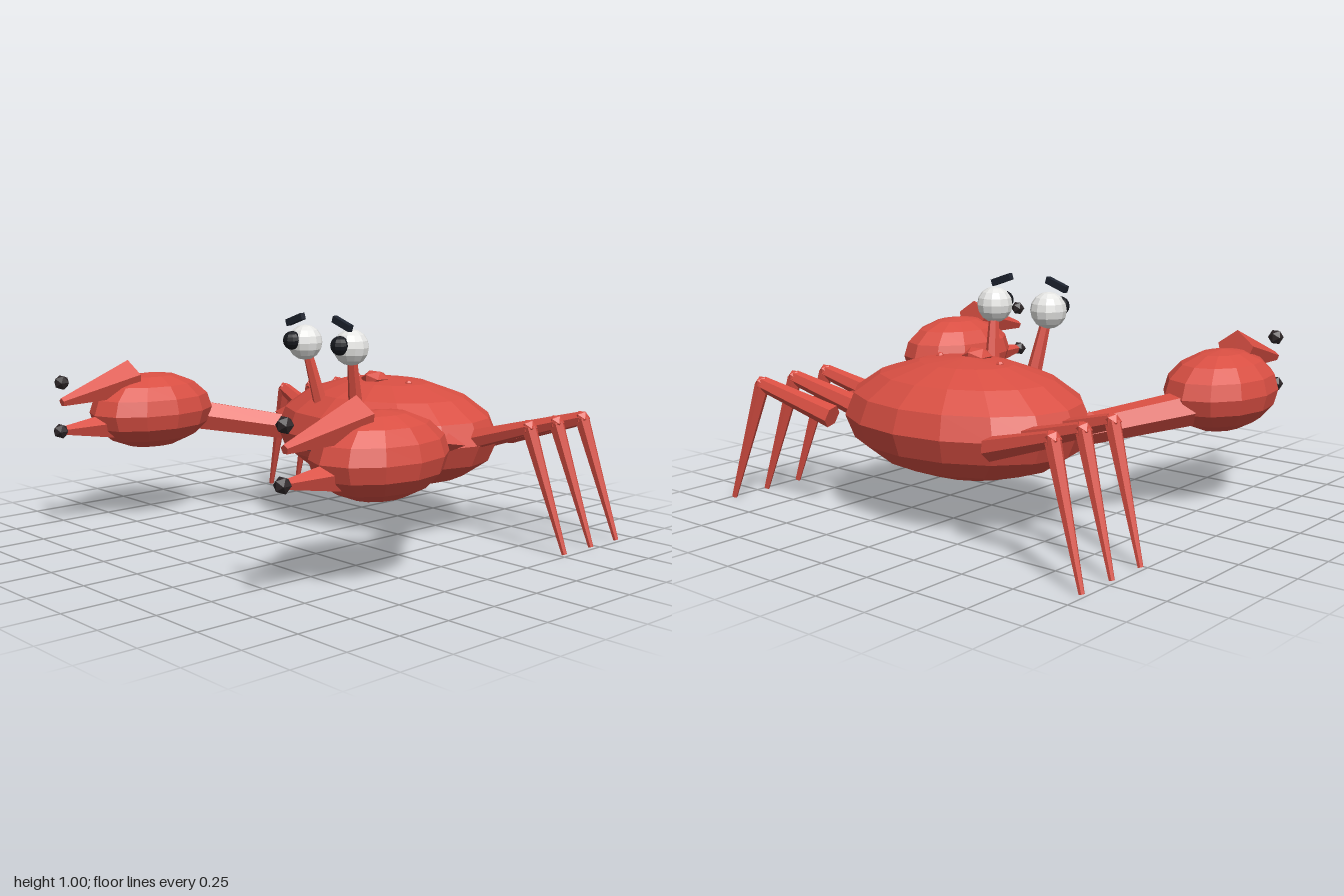
import * as THREE from 'three';

const paint = (name, color) => {
  const m = new THREE.MeshStandardMaterial({ color, flatShading: true });
  m.name = name;
  return m;
};

export function createModel() {
  const red = paint('shellRed', 0xd94f43);
  const white = paint('eyeWhite', 0xe6e6e4);
  const black = paint('pupilBlack', 0x16181e);
  const navy = paint('browNavy', 0x1e2430);
  const dark = paint('clawTipDark', 0x2d2628);

  const model = new THREE.Group();
  model.name = 'crab';

  const add = (parent, name, geometry, material, pos) => {
    const mesh = new THREE.Mesh(geometry, material);
    mesh.name = name;
    mesh.position.set(...pos);
    parent.add(mesh);
    return mesh;
  };
  const ellipsoid = (parent, name, material, pos, radii, w, h) => {
    add(parent, name, new THREE.SphereGeometry(1, w, h), material, pos).scale.set(...radii);
  };
  // Tapered prism running from point a to point b
  const limb = (parent, name, a, b, ra, rb, sides = 6, turn = 0) => {
    const start = new THREE.Vector3(...a), end = new THREE.Vector3(...b);
    const dir = end.clone().sub(start);
    const geo = new THREE.CylinderGeometry(rb, ra, dir.length(), sides, 1, false, turn);
    const mid = start.add(end).multiplyScalar(0.5);
    const mesh = add(parent, name, geo, red, mid.toArray());
    mesh.quaternion.setFromUnitVectors(new THREE.Vector3(0, 1, 0), dir.normalize());
  };

  // Shell, top bump and mouth
  ellipsoid(model, 'shell', red, [0, 0.435, -0.41], [0.59, 0.255, 0.445], 16, 8);
  add(model, 'shellBump', new THREE.IcosahedronGeometry(0.067), red, [0, 0.685, -0.34]).scale.y = 0.6;
  add(model, 'mouth', new THREE.BoxGeometry(0.16, 0.027, 0.025), navy, [0, 0.395, 0.023]);

  for (const s of [1, -1]) {
    const side = new THREE.Group();
    side.name = s > 0 ? 'leftSide' : 'rightSide';
    model.add(side);

    // Eye on its stalk
    limb(side, 'eyeStalk', [s * 0.12, 0.585, -0.105], [s * 0.148, 0.81, -0.055], 0.034, 0.023);
    ellipsoid(side, 'eyeball', white, [s * 0.154, 0.863, -0.043], [0.081, 0.081, 0.081], 12, 8);
    ellipsoid(side, 'pupil', black, [s * 0.16, 0.875, 0.03], [0.043, 0.043, 0.043], 10, 8);
    add(side, 'eyebrow', new THREE.BoxGeometry(0.112, 0.03, 0.025), navy, [s * 0.157, 0.97, 0.012])
      .rotation.z = -s * 0.33;

    // Arm and claw
    limb(side, 'arm', [s * 0.485, 0.41, -0.21], [s * 0.76, 0.48, 0.15], 0.066, 0.078);
    ellipsoid(side, 'claw', red, [s * 0.775, 0.525, 0.385], [0.225, 0.178, 0.315], 12, 8);
    limb(side, 'upperPincer', [s * 0.775, 0.68, 0.495], [s * 0.775, 0.605, 0.868], 0.092, 0.02, 5, Math.PI);
    limb(side, 'lowerPincer', [s * 0.775, 0.47, 0.55], [s * 0.775, 0.475, 0.868], 0.075, 0.02, 5, Math.PI);
    add(side, 'upperClawTip', new THREE.IcosahedronGeometry(0.036), dark, [s * 0.775, 0.695, 0.866]);
    add(side, 'lowerClawTip', new THREE.IcosahedronGeometry(0.036), dark, [s * 0.775, 0.475, 0.878]);

    // Three jointed legs
    for (const z of [-0.475, -0.662, -0.847]) {
      const knee = [s * 0.81, 0.54, z];
      limb(side, 'upperLeg', [s * 0.448, 0.43, z + 0.075], knee, 0.05, 0.033);
      add(side, 'knee', new THREE.IcosahedronGeometry(0.036), red, knee);
      limb(side, 'lowerLeg', knee, [s * 0.982, 0.004, z - 0.047], 0.034, 0.012);
    }

    // Rim spikes and small shell dots
    limb(side, 'frontSpike', [s * 0.54, 0.463, -0.26], [s * 0.638, 0.463, -0.264], 0.042, 0, 4);
    limb(side, 'rearSpike', [s * 0.53, 0.46, -0.565], [s * 0.67, 0.46, -0.572], 0.042, 0, 4);
    ellipsoid(side, 'shellDot', red, [s * 0.17, 0.672, -0.39], [0.018, 0.018, 0.018], 6, 5);
  }
  return model;
}
